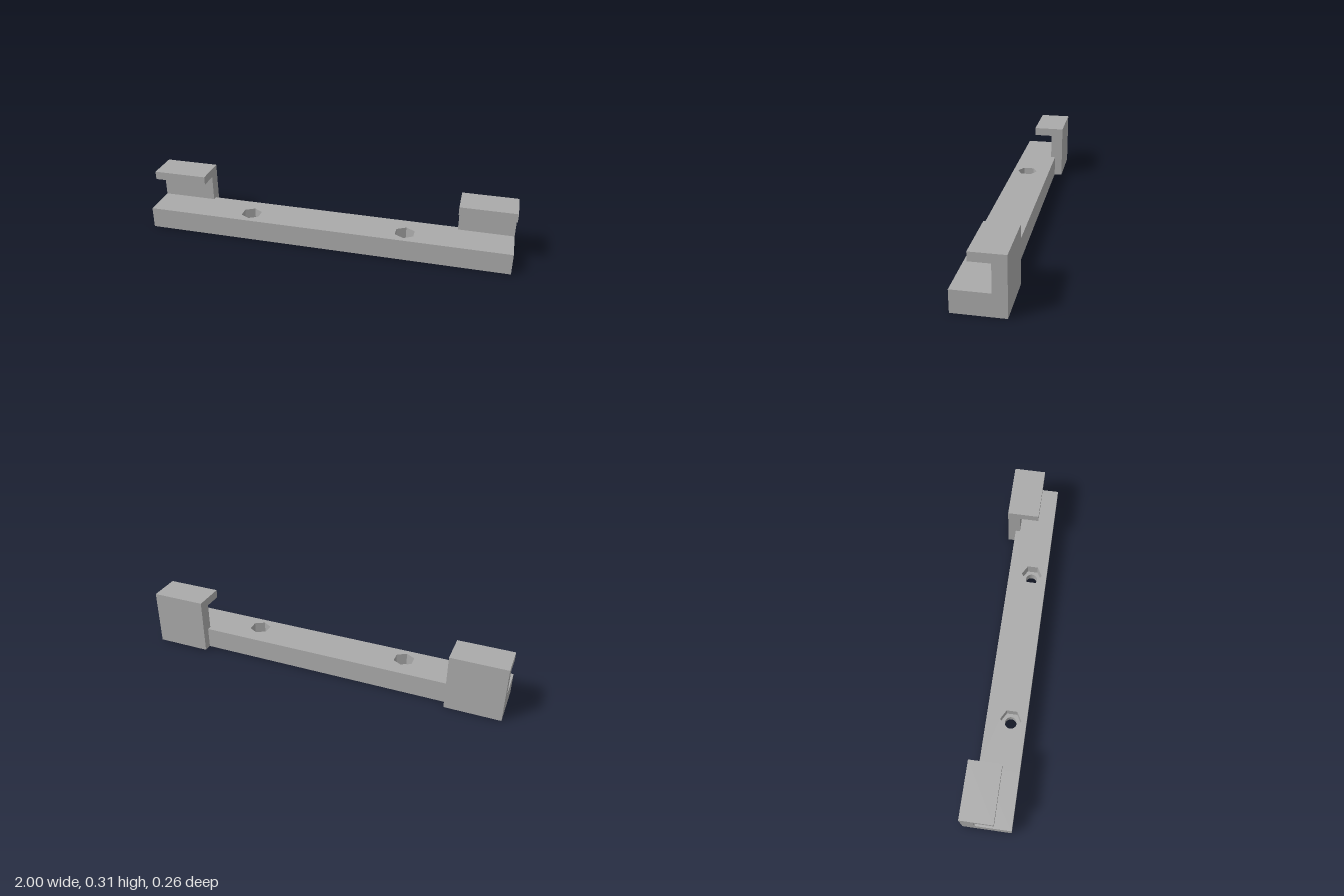
import * as THREE from 'three';

const INNER = 0.703, FRONT = 0.13, BACK = -0.086, TOP = 0.117, FLOOR = 0.05;
const HOLE_X = 0.432, HOLE_Z = 0.045;

// Closed outline from [x, y] pairs
const outline = (points) => new THREE.Shape(points.map(([x, y]) => new THREE.Vector2(x, y)));

// Horizontal slab of the bar between two heights, pierced by two round or hexagonal holes
function barLayer(y0, y1, radius, sides) {
  const shape = outline([[-INNER, -FRONT], [INNER, -FRONT], [INNER, -BACK], [-INNER, -BACK]]);
  for (const x of [-HOLE_X, HOLE_X]) {
    const points = [];
    for (let i = 0; i < sides; i++) {
      const a = Math.PI / 2 - (i / sides) * Math.PI * 2;
      points.push(new THREE.Vector2(x + radius * Math.cos(a), -HOLE_Z + radius * Math.sin(a)));
    }
    shape.holes.push(new THREE.Path(points));
  }
  const geometry = new THREE.ExtrudeGeometry(shape, { depth: y1 - y0, bevelEnabled: false });
  return geometry.rotateX(-Math.PI / 2).translate(0, y0, 0);
}

export function createModel() {
  const model = new THREE.Group();
  model.name = 'mountingBracket';
  const grey = new THREE.MeshStandardMaterial({ color: 0xaaaaaa });
  grey.name = 'grey';

  const add = (name, geometry) => {
    const mesh = new THREE.Mesh(geometry, grey);
    mesh.name = name;
    model.add(mesh);
  };

  // Bar: screw holes below, hexagonal nut pockets above
  add('barWithScrewHoles', barLayer(0, FLOOR, 0.032, 32));
  add('barWithNutPockets', barLayer(FLOOR, TOP, 0.057, 6));

  // Hooked end blocks: one side profile extruded along x (profile x is -z)
  const profile = outline([
    [-0.13, 0], [0.13, 0], [0.13, 0.306], [-0.043, 0.306],
    [-0.043, 0.26], [0.061, 0.26], [0.061, TOP], [-0.13, TOP],
  ]);
  for (const [name, x] of [['rightHook', -1], ['leftHook', INNER]]) {
    const geometry = new THREE.ExtrudeGeometry(profile, { depth: 1 - INNER, bevelEnabled: false });
    add(name, geometry.rotateY(Math.PI / 2).translate(x, 0, 0));
  }
  return model;
}
